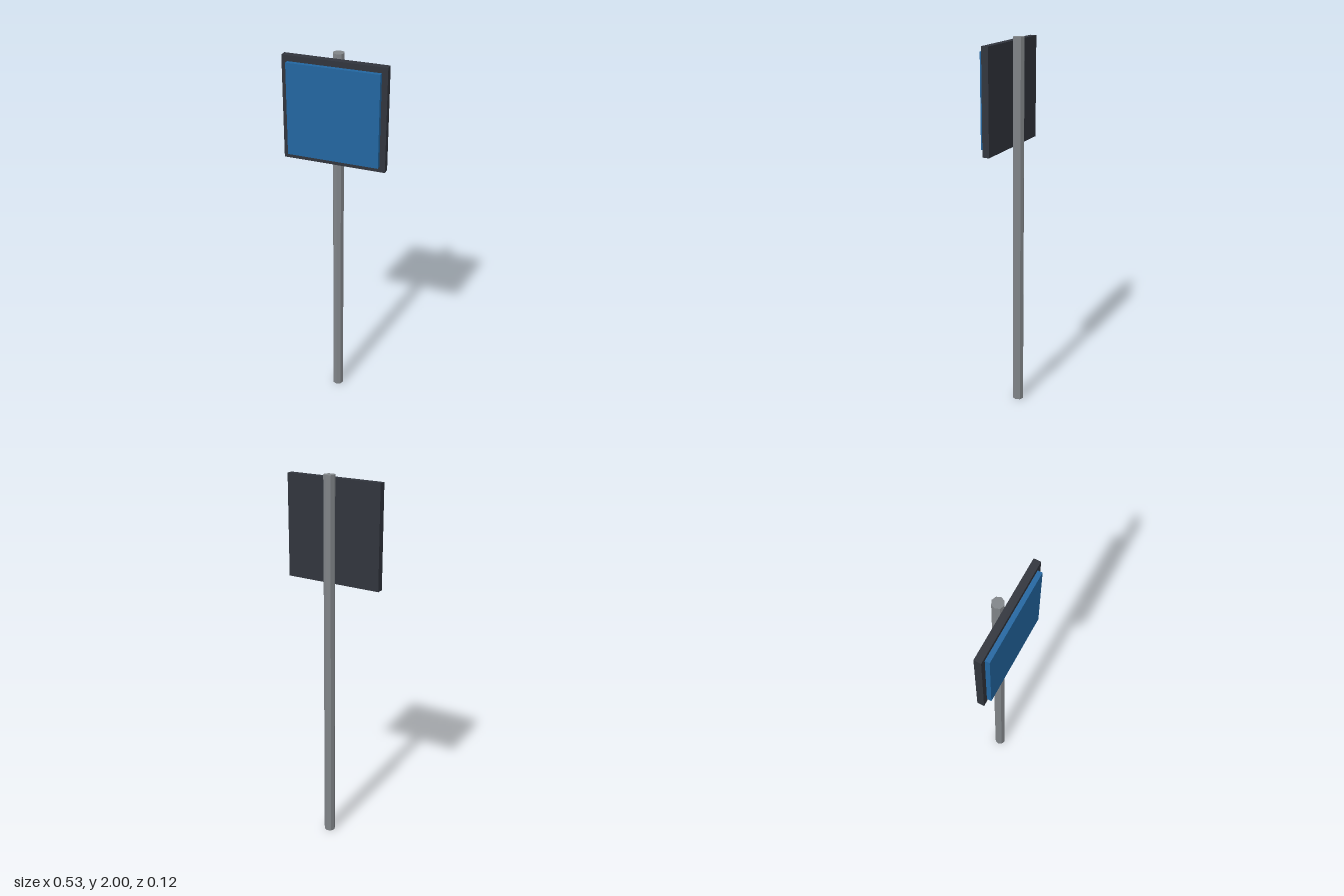
import * as THREE from 'three';

function addPart(group, name, geometry, color, x, y, z) {
  const material = new THREE.MeshStandardMaterial({ color });
  material.flatShading = true;
  const mesh = new THREE.Mesh(geometry, material);
  mesh.name = name;
  mesh.position.set(x, y, z);
  group.add(mesh);
}

export function createModel() {
  const group = new THREE.Group();
  group.name = 'signPost';

  // Eight-sided pole standing behind the board
  addPart(group, 'pole', new THREE.CylinderGeometry(0.0295, 0.0295, 2, 8), 0x808488, 0, 1, -0.0295);

  // Dark backing board, touching the pole
  addPart(group, 'backBoard', new THREE.BoxGeometry(0.532, 0.532, 0.036), 0x30343c, 0, 1.713, 0.018);

  // Blue face plate standing proud of the board
  addPart(group, 'facePlate', new THREE.BoxGeometry(0.474, 0.474, 0.0235), 0x2266a0, 0, 1.713, 0.04775);

  return group;
}
